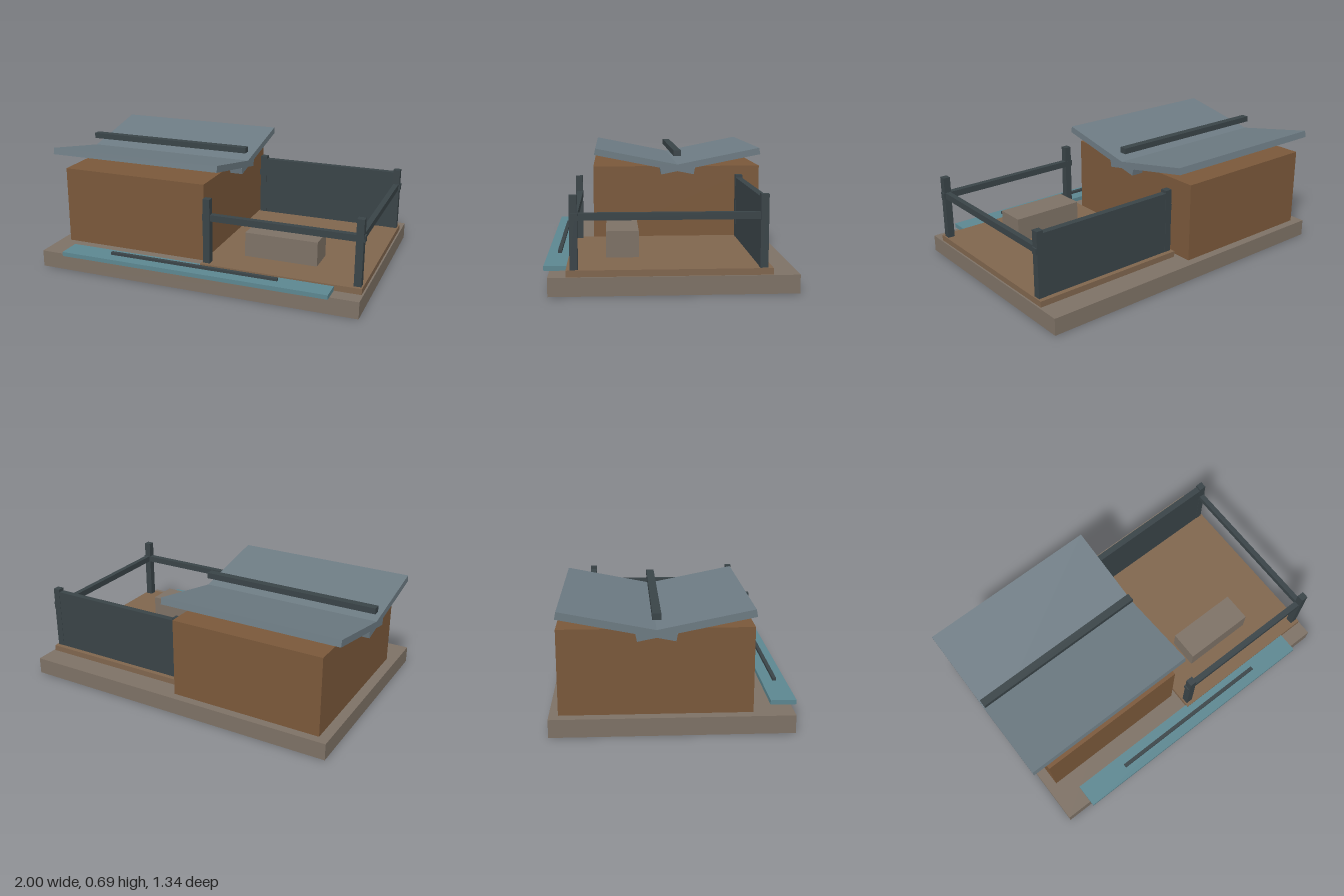
import * as THREE from 'three';

const mat = (color) => new THREE.MeshStandardMaterial({ color, flatShading: true });

export function createModel() {
  const group = new THREE.Group();
  const stone = mat(0x7d7165), timber = mat(0x7a583a), decking = mat(0x7f654d);
  const slate = mat(0x6c7a82), dark = mat(0x394347), water = mat(0x5c8690);

  // Box given by its extents on each axis
  function block(name, material, [x0, x1], [y0, y1], [z0, z1]) {
    const mesh = new THREE.Mesh(new THREE.BoxGeometry(x1 - x0, y1 - y0, z1 - z0), material);
    mesh.position.set((x0 + x1) / 2, (y0 + y1) / 2, (z0 + z1) / 2);
    mesh.name = name;
    group.add(mesh);
    return mesh;
  }

  // Ground and main volumes
  block('basePlinth', stone, [-0.97, 1], [0, 0.1], [-0.67, 0.64]);
  block('house', timber, [-0.91, 0.01], [0.1, 0.572], [-0.62, 0.42]);
  block('deck', decking, [0.04, 0.99], [0.1, 0.135], [-0.53, 0.547]);
  block('bench', stone, [0.24, 0.68], [0.135, 0.282], [0.16, 0.34]);

  // Water strip along the front with a low bar above it
  block('waterStrip', water, [-0.81, 0.835], [0.1, 0.126], [0.53, 0.672]);
  block('waterBar', dark, [-0.51, 0.53], [0.132, 0.147], [0.592, 0.614]);

  // Butterfly roof: two tilted slabs crossing in a valley at z = -0.1
  for (const side of [1, -1]) {
    const slab = new THREE.Mesh(new THREE.BoxGeometry(1.09, 0.04, 0.626), slate);
    slab.position.set(-0.455, 0.609, -0.1 + side * 0.203);
    slab.rotation.x = -side * 0.197;
    slab.name = side > 0 ? 'frontRoofSlab' : 'backRoofSlab';
    group.add(slab);
  }
  block('roofBeam', dark, [-0.995, 0.08], [0.64, 0.675], [-0.122, -0.076]);

  // Deck posts at the four corners
  for (const x of [0.07, 0.96])
    for (const z of [-0.482, 0.505])
      block('deckPost', dark, [x - 0.021, x + 0.021], [0.135, 0.522], [z - 0.021, z + 0.021]);

  // Rails joining the posts, and the solid screen at the back
  for (const z of [-0.482, 0.5])
    block('longRail', dark, [0.042, 0.988], [0.391, 0.429], [z - 0.018, z + 0.018]);
  block('sideRail', dark, [0.944, 0.976], [0.391, 0.429], [-0.5, 0.518]);
  block('backScreen', dark, [0.06, 0.95], [0.135, 0.505], [-0.501, -0.463]);

  return group;
}
